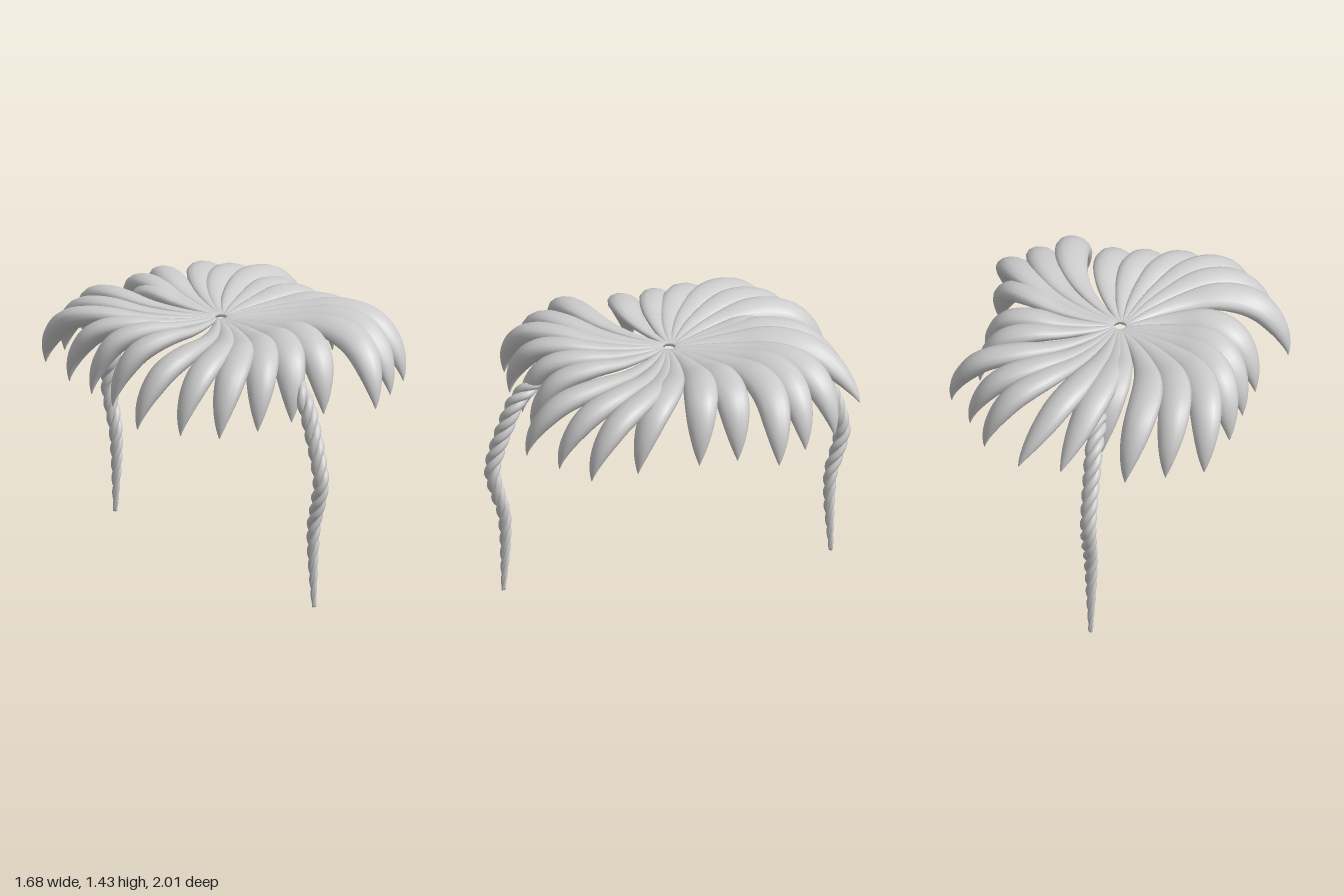
import * as THREE from 'three';

const V = (x, y, z) => new THREE.Vector3(x, y, z);
const material = new THREE.MeshStandardMaterial({ color: 0xcccccc });

// Sweeps an ellipse along point(t); size(t) gives [half width, half thickness]
function sweep(point, side, size, rings, sides) {
  const pos = [], index = [];
  for (let i = 0; i <= rings; i++) {
    const t = i / rings;
    const p = point(t);
    const T = point(Math.min(1, t + 0.004)).sub(point(Math.max(0, t - 0.004))).normalize();
    const S = side(t);
    S.addScaledVector(T, -S.dot(T)).normalize();
    const N = T.clone().cross(S);
    const [w, h] = size(t);
    for (let j = 0; j < sides; j++) {
      const a = (j / sides) * Math.PI * 2;
      const q = p.clone().addScaledVector(S, w * Math.cos(a)).addScaledVector(N, h * Math.sin(a));
      pos.push(q.x, q.y, q.z);
      if (i === rings) continue;
      const k = i * sides + j, k1 = i * sides + ((j + 1) % sides);
      index.push(k, k1, k + sides, k1, k1 + sides, k + sides);
    }
  }
  // end caps
  for (let j = 1; j < sides - 1; j++) {
    const e = rings * sides;
    index.push(0, j + 1, j, e, e + j, e + j + 1);
  }
  const g = new THREE.BufferGeometry();
  g.setAttribute('position', new THREE.Float32BufferAttribute(pos, 3));
  g.setIndex(index);
  g.computeVertexNormals();
  return g;
}

// Smooth function through [t, value] keys
function profile(keys) {
  const curve = new THREE.SplineCurve(keys.map(([t, v]) => new THREE.Vector2(t, v)));
  const pts = curve.getPoints(80);
  return (t) => {
    let i = 1;
    while (i < pts.length - 1 && pts[i].x < t) i++;
    const a = pts[i - 1], b = pts[i];
    return a.y + ((b.y - a.y) * (t - a.x)) / (b.x - a.x);
  };
}

const lockHeight = profile([[0, 1.365], [0.2, 1.375], [0.38, 1.38], [0.58, 1.33], [0.76, 1.22], [1, 1.03]]);
const lockWidth = profile([[0, 0.014], [0.15, 0.045], [0.35, 0.084], [0.52, 0.092], [0.7, 0.078], [0.86, 0.045], [1, 0.002]]);
const lockThickness = profile([[0, 0.01], [0.2, 0.028], [0.45, 0.052], [0.65, 0.058], [0.82, 0.04], [1, 0.002]]);
const ROLL = 0.28; // trailing edge of each lock dips under its neighbour

// One swirling lock: runs out from the crown, bulges sideways, then hooks down
function lockGeometry(x, z, bulge, hook = 1.8, lift = 0) {
  const r = Math.hypot(x, z), dx = x / r, dz = z / r;
  const plan = new THREE.QuadraticBezierCurve(
    new THREE.Vector2(dx * 0.035, dz * 0.035),
    new THREE.Vector2(x * 0.58 + dz * bulge * 2, z * 0.58 - dx * bulge * 2),
    new THREE.Vector2(x, z));
  const ease = (t) => 1 - Math.pow(1 - t, hook);
  const point = (t) => {
    const p = plan.getPoint(ease(t));
    return V(p.x, lockHeight(t) + lift * t * t, p.y);
  };
  const side = (t) => {
    const d = plan.getTangent(ease(t));
    return V(-d.y, -ROLL, d.x);
  };
  return sweep(point, side, (t) => [lockWidth(t), lockThickness(t)], 36, 14);
}

// Tip x, tip z, sideways bulge and optional hook and lift of every lock, around the crown
const LOCKS = [
  [0.11, -0.96, 0.09, 1.3, 0.05], [0.34, -0.96, 0.1, 1.3, 0.05], [0.57, -0.76, 0.11], [0.69, -0.57, 0.13],
  [0.83, -0.39, 0.13], [0.72, -0.19, 0.06], [0.72, 0.02, 0.06], [0.73, 0.36, 0.1], [0.75, 0.62, 0.14],
  [0.57, 0.75, 0.15], [0.38, 0.88, 0.15], [0.11, 0.78, 0.1], [-0.1, 0.78, 0.09], [-0.33, 0.79, 0.09],
  [-0.56, 0.76, 0.1], [-0.7, 0.6, 0.12], [-0.83, 0.39, 0.13], [-0.73, 0.03, 0.1], [-0.71, -0.19, 0.08],
  [-0.69, -0.42, 0.1], [-0.62, -0.73, 0.15], [-0.43, -0.82, 0.14], [-0.23, -0.91, 0.13], [-0.05, -0.7, 0.05],
];

// Braid centre line from under the crown down to the ground
const braidPath = new THREE.CatmullRomCurve3([
  [1.34, 0.42], [1.3, 0.58], [1.23, 0.73], [1.13, 0.83], [1.0, 0.885], [0.86, 0.935], [0.73, 0.962],
  [0.6, 0.935], [0.48, 0.9], [0.34, 0.89], [0.18, 0.893], [0.005, 0.9],
].map(([y, z]) => V(-0.04, y, z)));
const braidRadius = profile([[0, 0.02], [0.2, 0.046], [0.45, 0.045], [0.65, 0.04], [0.82, 0.03], [1, 0.012]]);

function strandGeometry(phase) {
  const turns = 6.5;
  const point = (t) => {
    const T = braidPath.getTangentAt(t);
    const S = V(1, 0, 0), N = T.clone().cross(S);
    const a = phase + t * turns * Math.PI * 2, o = braidRadius(t) * 0.52;
    return braidPath.getPointAt(t).addScaledVector(S, o * Math.cos(a)).addScaledVector(N, o * Math.sin(a));
  };
  return sweep(point, () => V(1, 0, 0), (t) => [braidRadius(t) * 0.52, braidRadius(t) * 0.52], 180, 10);
}

export function createModel() {
  const model = new THREE.Group();
  model.name = 'braidedHair';

  // crown of locks
  const crown = new THREE.Group();
  crown.name = 'crown';
  LOCKS.forEach((lockShape, i) => {
    const lock = new THREE.Mesh(lockGeometry(...lockShape), material);
    lock.name = `lock${i + 1}`;
    crown.add(lock);
  });
  model.add(crown);

  // front and back braids, three twisted strands each
  const strands = [0, 1, 2].map((k) => strandGeometry((k * Math.PI * 2) / 3));
  for (const name of ['frontBraid', 'backBraid']) {
    const braid = new THREE.Group();
    braid.name = name;
    strands.forEach((g, k) => {
      const strand = new THREE.Mesh(g, material);
      strand.name = `strand${k + 1}`;
      braid.add(strand);
    });
    if (name === 'backBraid') {
      braid.rotation.y = Math.PI;
      braid.position.x = -0.08;
    }
    model.add(braid);
  }
  return model;
}
